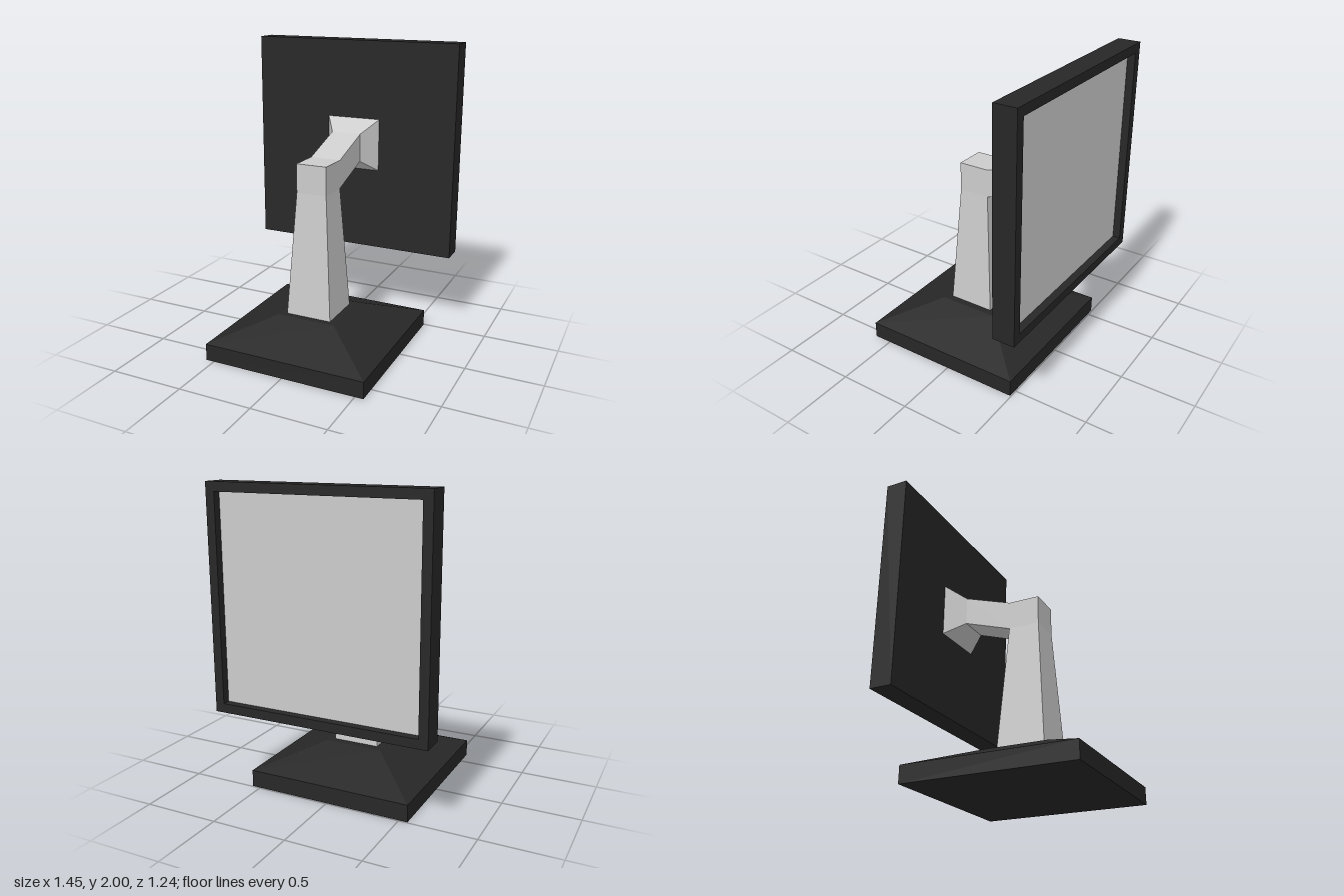
import * as THREE from 'three';

const dark = new THREE.MeshStandardMaterial({ color: 0x272727, flatShading: true });
const grey = new THREE.MeshStandardMaterial({ color: 0xcccccc, flatShading: true });

// Rectangular cross-sections: level ones for lofting upwards, upright ones for lofting backwards
const level = (y, hx, zBack, zFront) =>
  [[-hx, y, zFront], [hx, y, zFront], [hx, y, zBack], [-hx, y, zBack]];
const upright = (z, hx, yLow, yHigh) =>
  [[hx, yLow, z], [-hx, yLow, z], [-hx, yHigh, z], [hx, yHigh, z]];

// Flat-sided skin through a row of four-cornered rings
function loft(name, rings, material, { capStart = true, capEnd = true } = {}) {
  const pos = [];
  const quad = (a, b, c, d) => pos.push(...a, ...b, ...c, ...a, ...c, ...d);
  for (let r = 0; r < rings.length - 1; r++) {
    const p = rings[r], q = rings[r + 1];
    for (let i = 0; i < 4; i++) {
      const j = (i + 1) % 4;
      quad(p[i], p[j], q[j], q[i]);
    }
  }
  const [s, e] = [rings[0], rings[rings.length - 1]];
  if (capStart) quad(s[3], s[2], s[1], s[0]);
  if (capEnd) quad(...e);
  const geometry = new THREE.BufferGeometry();
  geometry.setAttribute('position', new THREE.Float32BufferAttribute(pos, 3));
  geometry.computeVertexNormals();
  const mesh = new THREE.Mesh(geometry, material);
  mesh.name = name;
  return mesh;
}

export function createModel() {
  const model = new THREE.Group();
  model.name = 'monitor';

  // Square foot with sloping top
  model.add(loft('base', [
    level(0, 0.557, -0.493, 0.622),
    level(0.113, 0.557, -0.493, 0.622),
    level(0.256, 0.203, -0.125, 0.283),
  ], dark));

  // Tapered column, straight at the head
  model.add(loft('column', [
    level(0.256, 0.157, -0.073, 0.243),
    level(1.085, 0.104, -0.018, 0.19),
    level(1.275, 0.104, -0.018, 0.19),
  ], grey));

  // Rising arm that flares into the mounting plate
  model.add(loft('arm', [
    upright(-0.018, 0.104, 1.085, 1.275),
    upright(-0.345, 0.104, 1.195, 1.385),
    upright(-0.472, 0.19, 1.11, 1.47),
  ], grey));

  // Display housing with a recessed opening on its far side
  const half = 0.727, bezel = 0.06, zScreen = -0.57;
  const low = 2 - 2 * half;
  model.add(loft('housing', [
    upright(-0.472, half, low, 2),
    upright(-0.622, half, low, 2),
    upright(-0.622, half - bezel, low + bezel, 2 - bezel),
    upright(zScreen, half - bezel, low + bezel, 2 - bezel),
  ], dark, { capEnd: false }));

  // Screen at the bottom of the recess
  const size = 2 * (half - bezel);
  const screen = new THREE.Mesh(new THREE.PlaneGeometry(size, size), grey);
  screen.name = 'screen';
  screen.position.set(0, 2 - half, zScreen);
  screen.rotation.y = Math.PI;
  model.add(screen);

  return model;
}
